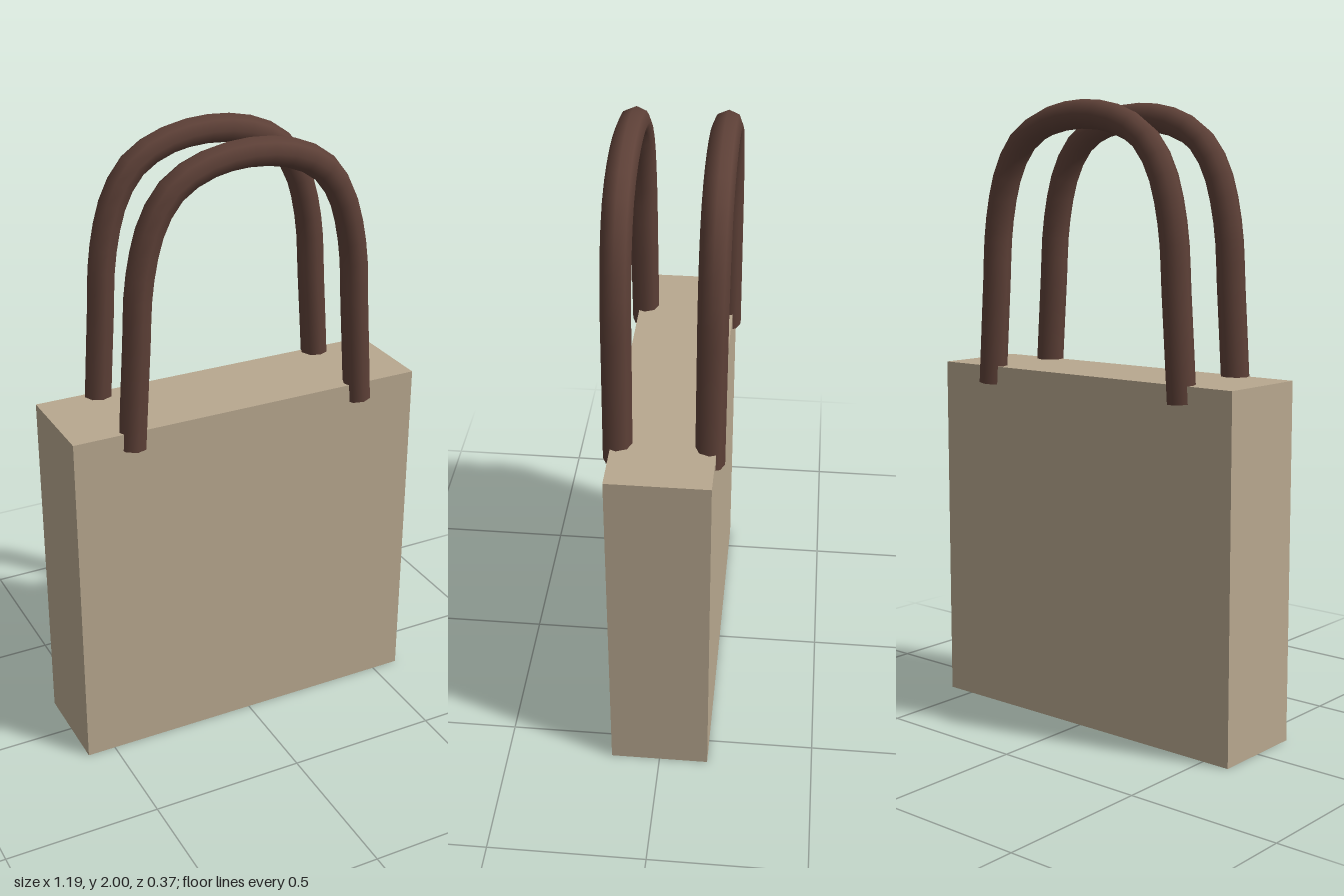
import * as THREE from 'three';

export function createModel() {
  const canvas = new THREE.MeshStandardMaterial({ color: 0xb8a88f });
  canvas.name = 'canvas';
  const leather = new THREE.MeshStandardMaterial({ color: 0x5d4037, side: THREE.DoubleSide });
  leather.name = 'leather';

  const bag = new THREE.Group();
  bag.name = 'toteBag';

  // Boxy body
  const body = new THREE.Mesh(new THREE.BoxGeometry(1.186, 1.147, 0.316), canvas);
  body.name = 'body';
  body.position.y = 1.147 / 2;
  bag.add(body);

  // Half of the handle arch, mirrored into a full curve
  const half = [[-0.395, 1.09], [-0.374, 1.4], [-0.357, 1.62], [-0.312, 1.785], [-0.245, 1.88], [-0.14, 1.935]];
  const points = [
    ...half,
    [0, 1.955],
    ...half.slice().reverse().map(([x, y]) => [-x, y]),
  ].map(([x, y]) => new THREE.Vector3(x, y, 0));
  const arch = new THREE.CatmullRomCurve3(points);
  const handleGeometry = new THREE.TubeGeometry(arch, 32, 0.045, 8, false);

  // Front and back handles, with closed ends
  for (const [name, z] of [['frontHandle', 0.139], ['backHandle', -0.139]]) {
    const handle = new THREE.Group();
    handle.name = name;
    handle.position.z = z;
    const strap = new THREE.Mesh(handleGeometry, leather);
    strap.name = 'strap';
    handle.add(strap);
    for (const t of [0, 1]) {
      const end = new THREE.Mesh(new THREE.CircleGeometry(0.045, 8), leather);
      end.name = 'strapEnd';
      const outward = arch.getTangentAt(t).multiplyScalar(t ? 1 : -1);
      end.position.copy(arch.getPointAt(t));
      end.quaternion.setFromUnitVectors(new THREE.Vector3(0, 0, 1), outward);
      handle.add(end);
    }
    bag.add(handle);
  }
  return bag;
}
